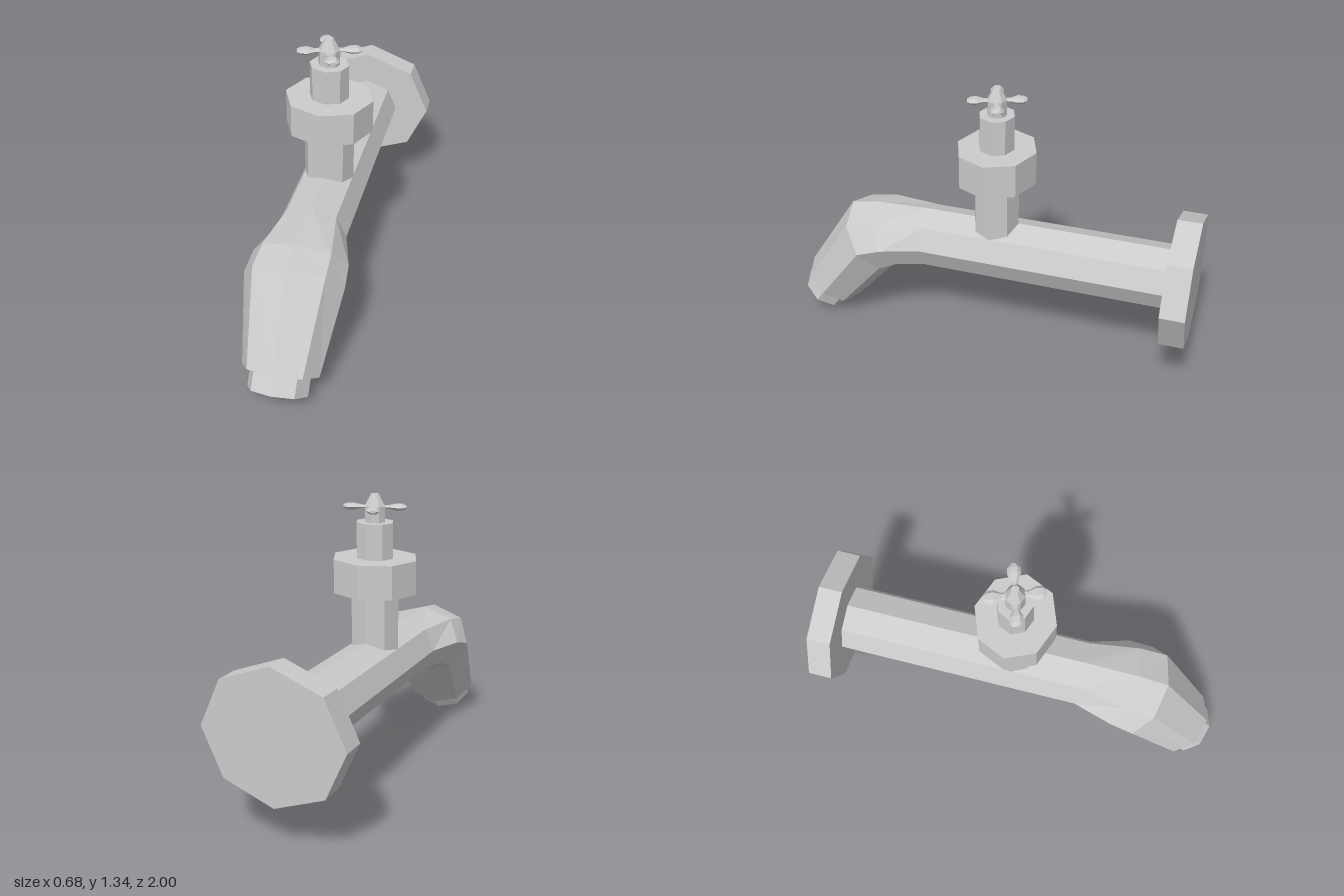
import * as THREE from 'three';

const material = new THREE.MeshStandardMaterial({ color: 0xcccccc, flatShading: true });
const SIDES = 8;

function part(name, geometry, parent) {
  const mesh = new THREE.Mesh(geometry, material);
  mesh.name = name;
  parent.add(mesh);
  return mesh;
}

// Closed loft through octagonal sections: [z, y, radiusX, radiusUp, tilt in degrees]
function loft(sections) {
  const pos = [], index = [];
  for (const [z, y, rx, ry, deg] of sections) {
    const t = THREE.MathUtils.degToRad(deg);
    for (let k = 0; k < SIDES; k++) {
      const a = (k / SIDES) * Math.PI * 2;
      const up = ry * Math.sin(a);
      pos.push(rx * Math.cos(a), y + up * Math.cos(t), z + up * Math.sin(t));
    }
  }
  const last = (sections.length - 1) * SIDES;
  for (let i = 0; i < last; i += SIDES) {
    for (let k = 0; k < SIDES; k++) {
      const a = i + k, b = i + (k + 1) % SIDES;
      index.push(a, b, a + SIDES, b, b + SIDES, a + SIDES);
    }
  }
  for (let k = 1; k < SIDES - 1; k++) {
    index.push(0, k + 1, k, last, last + k, last + k + 1);
  }
  const g = new THREE.BufferGeometry();
  g.setAttribute('position', new THREE.Float32BufferAttribute(pos, 3));
  g.setIndex(index);
  g.computeVertexNormals();
  return g;
}

export function createModel() {
  const group = new THREE.Group();
  group.name = 'tap';

  // Wall plate
  part('wallFlange', loft([[-1, 0.517, 0.338, 0.308, 0], [-0.885, 0.517, 0.338, 0.308, 0]]), group);

  // Straight pipe swelling into the bent spout
  part('spout', loft([
    [-0.89, 0.516, 0.166, 0.147, 0],
    [0.3, 0.516, 0.166, 0.147, 0],
    [0.49, 0.512, 0.222, 0.166, 32],
    [0.605, 0.475, 0.232, 0.19, 36],
    [0.845, 0.153, 0.178, 0.152, 55],
  ]), group);
  part('nozzle', loft([
    [0.83, 0.175, 0.14, 0.122, 55],
    [0.9, 0.078, 0.14, 0.122, 55],
  ]), group);

  // Valve: stacked octagonal drums, slightly narrower front to back
  const valve = new THREE.Group();
  valve.name = 'valve';
  valve.position.z = -0.035;
  valve.scale.z = 0.91;
  group.add(valve);
  const drums = [
    ['valveStem', 0.12, 0.12, 0.62, 0.91],
    ['valveCollar', 0.208, 0.208, 0.895, 1.055],
    ['valveNeck', 0.092, 0.092, 1.05, 1.222],
    ['spindle', 0.05, 0.05, 1.215, 1.295],
    ['spindleCap', 0.02, 0.05, 1.295, 1.35],
  ];
  for (const [name, rTop, rBottom, y0, y1] of drums) {
    const drum = part(name, new THREE.CylinderGeometry(rTop, rBottom, y1 - y0, SIDES), valve);
    drum.position.y = (y0 + y1) / 2;
  }

  // Cross handle with four flattened, bulb-ended arms
  const handle = new THREE.Group();
  handle.name = 'handle';
  handle.position.y = 1.291;
  handle.rotation.y = 0.33;
  valve.add(handle);
  const profile = [[0, 0.02], [0.018, 0.02], [0.017, 0.065], [0.033, 0.1], [0.031, 0.128], [0.016, 0.147], [0, 0.147]]
    .map(([r, y]) => new THREE.Vector2(r, y));
  const armGeometry = new THREE.LatheGeometry(profile, 6);
  armGeometry.rotateZ(-Math.PI / 2);
  armGeometry.scale(1, 0.5, 1);
  for (let i = 0; i < 4; i++) {
    part('handleArm', armGeometry, handle).rotation.y = i * Math.PI / 2;
  }

  return group;
}
